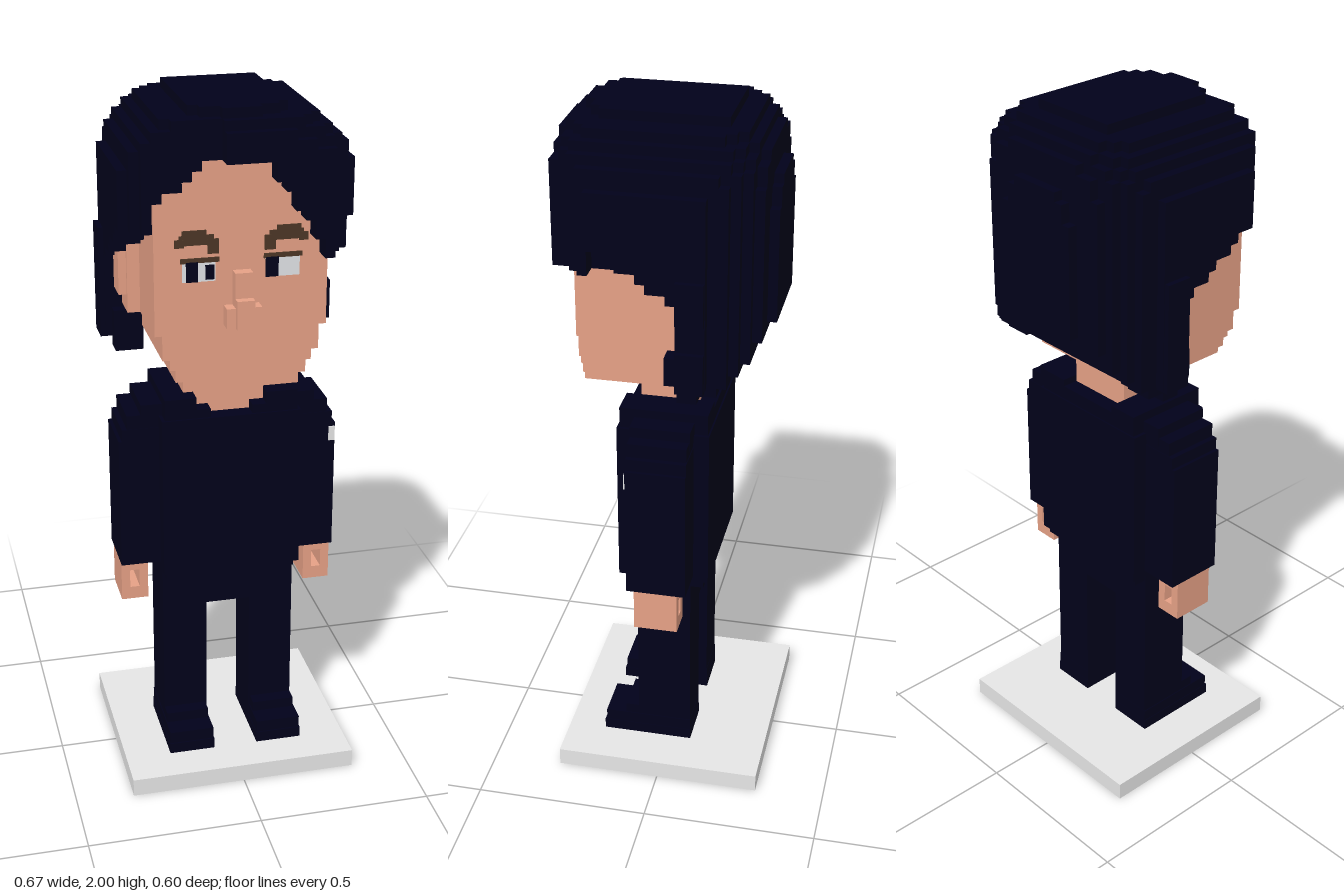
import * as THREE from 'three';
import { mergeGeometries } from 'three/addons/utils/BufferGeometryUtils.js';

const mat = (name, color) => {
  const m = new THREE.MeshStandardMaterial({ color });
  m.name = name;
  return m;
};

// Box given by its min and max on each axis
function block(x0, x1, y0, y1, z0, z1) {
  return new THREE.BoxGeometry(x1 - x0, y1 - y0, z1 - z0)
    .translate((x0 + x1) / 2, (y0 + y1) / 2, (z0 + z1) / 2);
}
// The same box on both sides of x = 0
const pair = (x0, x1, ...r) => [block(x0, x1, ...r), block(-x1, -x0, ...r)];
const lerp = THREE.MathUtils.mapLinear;

// Lower edge of the hair at a given place
function hairBottom(x, z) {
  const ax = Math.abs(x);
  if (z > -0.045) {
    if (ax < 0.235 && z > 0.1) { // swept fringe over the face
      if (x < -0.1) return lerp(x, -0.235, -0.1, 1.75, 1.86);
      if (x < 0.06) return 1.875;
      return lerp(x, 0.06, 0.235, 1.87, 1.6);
    }
    if (z > 0.19) return x > 0 ? 1.61 : 1.68;
    if (z > 0.13) return 1.68;
    return lerp(z, -0.045, 0.13, 1.55, 1.66);
  }
  const back = Math.max(0, (-z - 0.1) / 0.2);
  const edge = 1.27 + 0.23 * back * back + (ax > 0.29 ? 0.03 : 0);
  return ax < 0.2 ? Math.max(edge, 1.34) : edge;
}

function inHair(x, y, z) {
  if (y < hairBottom(x, z)) return false;
  const side = (Math.abs(x) / 0.325) ** 3;
  const rise = Math.max(0, y - 1.65);
  const up = (rise / 0.345) ** 3;
  if (side + up > 1) return false;
  // rounded back of the head
  if (z < 0) return side + (rise / 0.355) ** 5 + (-z / 0.285) ** 2.6 < 1;
  // the forward layer covers only the fringe side
  if (z > 0.238 ? x < -0.06 || x > 0.25 : side + (z / 0.27) ** 4 > 1) return false;
  return side + up + (z / 0.315) ** 8 < 1;
}

// Fill the hair with rows of small cubes, one box for each run along x
function hairGeometries() {
  const s = 0.0265, n = 12, dz = -0.001, parts = [];
  for (let j = 0; j < 29; j++) {
    const y1 = 2 - j * s;
    for (let k = -11; k < 11; k++) {
      const z0 = k * s + dz;
      let start = null;
      for (let i = -n; i <= n; i++) {
        const full = i < n && inHair((i + 0.5) * s, y1 - s / 2, z0 + s / 2);
        if (full && start === null) start = i;
        if (!full && start !== null) {
          parts.push(block(start * s, i * s, y1 - s, y1, z0, z0 + s));
          start = null;
        }
      }
    }
  }
  return parts;
}

export function createModel() {
  const group = new THREE.Group();
  const navy = mat('navy', 0x01011a);
  const skin = mat('skin', 0xe6a186);
  const grey = mat('light grey', 0xe6e6e6);
  const brown = mat('brow brown', 0x4c3626);
  const white = mat('eye white', 0xeceff2);

  const add = (name, material, ...geos) => {
    const mesh = new THREE.Mesh(mergeGeometries(geos.flat()), material);
    mesh.name = name;
    group.add(mesh);
  };

  add('base', grey, block(-0.333, 0.333, 0, 0.053, -0.3, 0.3));

  // Legs and stepped shoes
  add('hips', navy, block(-0.195, 0.195, 0.495, 0.64, -0.073, 0.085));
  add('legs', navy, pair(0.065, 0.195, 0.053, 0.5, -0.073, 0.085));
  add('shoes', navy,
    pair(0.065, 0.2, 0.053, 0.085, -0.075, 0.19),
    pair(0.067, 0.198, 0.085, 0.12, -0.074, 0.185),
    pair(0.07, 0.195, 0.12, 0.15, -0.07, 0.125));

  // Shirt
  add('torso', navy,
    block(-0.2, 0.2, 0.63, 1.11, -0.125, 0.137),
    block(-0.19, 0.19, 0.605, 0.63, -0.11, 0.115));
  add('shoulders', navy,
    pair(0.1, 0.19, 1.11, 1.17, -0.12, 0.13),
    pair(0.06, 0.1, 1.11, 1.135, -0.12, 0.13),
    pair(0.19, 0.25, 1.09, 1.145, -0.082, 0.088),
    block(-0.1, 0.1, 1.11, 1.15, -0.12, -0.073));
  add('sleeves', navy,
    pair(0.2, 0.315, 0.65, 1.04, -0.082, 0.088),
    pair(0.2, 0.305, 1.04, 1.075, -0.082, 0.088),
    pair(0.2, 0.29, 1.075, 1.115, -0.08, 0.086));
  add('sleevePatch', grey, block(0.296, 0.314, 0.985, 1.028, 0.085, 0.092));

  // Hands with a square grip hole
  const fist = new THREE.Shape([[0.235, 0.527], [0.313, 0.527], [0.313, 0.652], [0.235, 0.652]]
    .map(p => new THREE.Vector2(...p)));
  fist.holes.push(new THREE.Path([[0.26, 0.565], [0.26, 0.62], [0.288, 0.62], [0.288, 0.565]]
    .map(p => new THREE.Vector2(...p))));
  const hand = new THREE.ExtrudeGeometry(fist, { depth: 0.125, bevelEnabled: false }).translate(0, 0, -0.058);
  add('hands', skin, hand, hand.clone().translate(-0.548, 0, 0));

  // Head and neck
  add('neck', skin, block(-0.1, 0.1, 1.1, 1.25, -0.073, 0.088));
  add('head', skin,
    block(-0.235, 0.235, 1.4, 1.87, -0.1, 0.233),
    block(-0.215, 0.215, 1.33, 1.4, -0.16, 0.233),
    block(-0.195, 0.195, 1.3, 1.33, -0.16, 0.233),
    block(-0.18, 0.18, 1.265, 1.3, -0.13, 0.233),
    block(-0.16, 0.16, 1.235, 1.265, -0.09, 0.233));
  add('ears', skin,
    pair(0.23, 0.27, 1.4, 1.6, -0.06, 0.03),
    pair(0.27, 0.292, 1.45, 1.6, -0.06, 0.02));
  add('nose', skin,
    block(-0.048, 0.048, 1.42, 1.475, 0.23, 0.27),
    block(-0.024, 0.024, 1.42, 1.5, 0.23, 0.288),
    block(-0.024, 0.024, 1.5, 1.57, 0.23, 0.265));

  // Eyes, lids and brows as thin plates
  const zf = 0.232;
  add('eyeWhites', white,
    block(-0.16, -0.07, 1.545, 1.6, zf, 0.235),
    block(0.065, 0.158, 1.545, 1.6, zf, 0.235));
  add('pupils', navy,
    block(-0.15, -0.118, 1.545, 1.6, zf, 0.237),
    block(-0.098, -0.074, 1.55, 1.59, zf, 0.237),
    block(0.065, 0.1, 1.545, 1.6, zf, 0.237));
  add('upperLids', brown, pair(0.06, 0.165, 1.597, 1.61, zf, 0.237));
  add('brows', brown,
    pair(0.062, 0.092, 1.62, 1.66, zf, 0.237),
    pair(0.075, 0.168, 1.645, 1.672, zf, 0.236),
    pair(0.095, 0.16, 1.665, 1.685, zf, 0.237),
    pair(0.155, 0.18, 1.64, 1.662, zf, 0.237));

  // Hair cap, with locks bulging out behind the ears
  add('hair', navy, hairGeometries());
  add('sideLocks', navy,
    pair(0.24, 0.333, 1.305, 1.42, -0.132, -0.056),
    pair(0.24, 0.333, 1.5, 1.62, -0.132, -0.056),
    block(-0.333, -0.24, 1.42, 1.5, -0.132, -0.056),
    pair(0.225, 0.3, 1.31, 1.39, -0.06, -0.02));
  return group;
}
